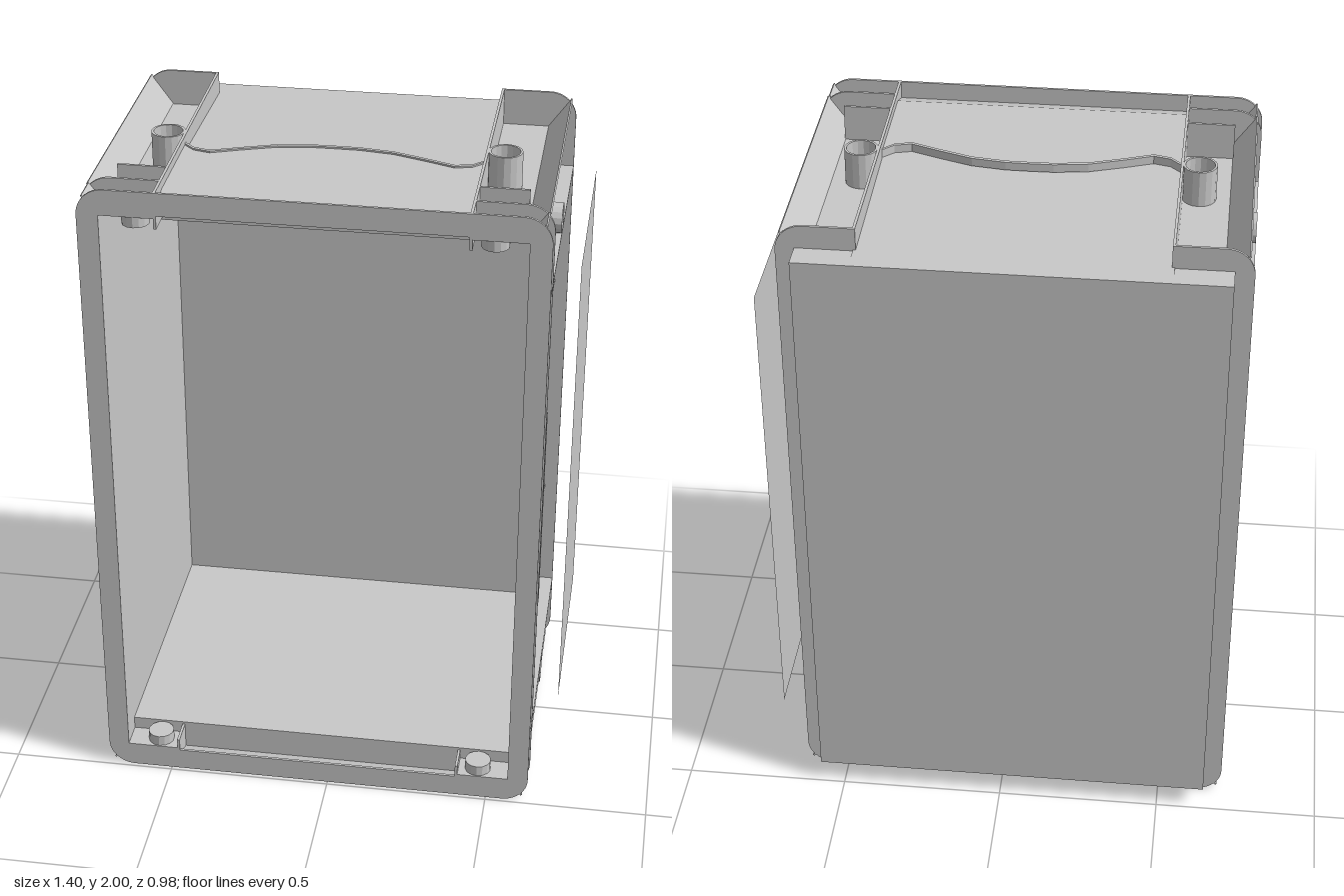
import * as THREE from 'three';

const grey = new THREE.MeshStandardMaterial({ color: 0xc8c8c8, side: THREE.DoubleSide, flatShading: true });
grey.name = 'grey';

// Half sizes, measured from the middle of the shell
const RX = 0.665, RY = 1.0;      // outer rim
const BX = 0.61, BY = 0.93;      // body
const TRAY_X = 0.445, TRAY_Y = 0.89;
const FRONT = 0.488, MID = 0.405, BACK = -0.41, REAR = -0.49, T = 0.008;

function add(parent, name, geometry, x = 0, y = 0, z = 0) {
  const mesh = new THREE.Mesh(geometry, grey);
  mesh.name = name;
  mesh.position.set(x, y, z);
  parent.add(mesh);
  return mesh;
}

// Box given by its lower and upper limits
function block(parent, name, x0, x1, y0, y1, z0, z1) {
  return add(parent, name, new THREE.BoxGeometry(Math.abs(x1 - x0), Math.abs(y1 - y0), Math.abs(z1 - z0)),
    (x0 + x1) / 2, (y0 + y1) / 2, (z0 + z1) / 2);
}

// Thin sheet across the middle, running from one height and depth to another
function slopedSheet(parent, name, y0, z0, y1, z1) {
  const sheet = add(parent, name, new THREE.PlaneGeometry(2 * TRAY_X, Math.hypot(y1 - y0, z1 - z0)),
    0, (y0 + y1) / 2, (z0 + z1) / 2);
  sheet.rotation.x = Math.atan2(z1 - z0, y1 - y0);
}

function plate(shape) {
  return new THREE.ExtrudeGeometry(shape, { depth: T, bevelEnabled: false, curveSegments: 6 });
}

// Full rounded rim with the opening cut out
function rimShape() {
  const r = 0.08, s = new THREE.Shape();
  s.moveTo(-RX + r, -RY);
  s.lineTo(RX - r, -RY).absarc(RX - r, -RY + r, r, -Math.PI / 2, 0);
  s.lineTo(RX, RY - r).absarc(RX - r, RY - r, r, 0, Math.PI / 2);
  s.lineTo(-RX + r, RY).absarc(-RX + r, RY - r, r, Math.PI / 2, Math.PI);
  s.lineTo(-RX, -RY + r).absarc(-RX + r, -RY + r, r, Math.PI, Math.PI * 1.5);
  const h = new THREE.Path();
  h.moveTo(-BX, -BY).lineTo(-BX, BY).lineTo(BX, BY).lineTo(BX, -BY).closePath();
  s.holes.push(h);
  return s;
}

// C-shaped flange that wraps one side and its two corners
function sideFlangeShape() {
  const r = 0.08, s = new THREE.Shape();
  s.moveTo(TRAY_X, -RY);
  s.lineTo(RX - r, -RY).absarc(RX - r, -RY + r, r, -Math.PI / 2, 0);
  s.lineTo(RX, RY - r).absarc(RX - r, RY - r, r, 0, Math.PI / 2);
  s.lineTo(TRAY_X, RY).lineTo(TRAY_X, TRAY_Y).lineTo(BX, TRAY_Y);
  s.lineTo(BX, -TRAY_Y).lineTo(TRAY_X, -TRAY_Y).closePath();
  return s;
}

// Flat sheet in x and z whose rear edge follows the wave, hanging down by its depth
function waveGeometry(frontEdge, depth) {
  const half = [[0, 0.045], [0.07, 0.046], [0.17, 0.06], [0.27, 0.095], [0.355, 0.128], [0.405, 0.115], [0.445, 0.075]];
  const line = [...half.slice(1).reverse().map(([x, z]) => [-x, z]), ...half];
  const s = new THREE.Shape();
  line.forEach(([x, z], i) => (i ? s.lineTo(x, z) : s.moveTo(x, z)));
  [...line].reverse().forEach(([x, z]) => s.lineTo(x, frontEdge(z)));
  s.closePath();
  return new THREE.ExtrudeGeometry(s, { depth, bevelEnabled: false }).rotateX(Math.PI / 2);
}

// Hollow peg standing along y
function pegGeometry(r, height) {
  const pts = [[r, 0], [r, height], [r - 0.007, height], [r - 0.007, 0]].map(([a, b]) => new THREE.Vector2(a, b));
  return new THREE.LatheGeometry(pts, 16);
}

export function createModel() {
  const model = new THREE.Group();
  model.name = 'openCase';
  const shell = new THREE.Group();
  shell.name = 'shell';
  shell.position.set(-0.035, 1, 0);
  model.add(shell);

  // Back wall and front rim
  block(shell, 'backWall', -BX, BX, -BY, BY, REAR, REAR + T);
  add(shell, 'frontRim', plate(rimShape()), 0, 0, FRONT - T);

  // Top and bottom: inner liner, rear panel, raised front panel with a wavy edge, sloped lip
  for (const s of [1, -1]) {
    const end = s > 0 ? 'top' : 'bottom';
    block(shell, end + 'Liner', -BX, BX, s * (TRAY_Y - T), s * TRAY_Y, REAR, MID);
    block(shell, end + 'LinerEdge', -TRAY_X, TRAY_X, s * TRAY_Y, s * 0.975, MID - T, MID);
    slopedSheet(shell, end + 'RearPanel', s * BY, REAR, s * 0.955, 0.13);
    add(shell, end + 'FrontPanel', waveGeometry(() => MID, 0.02), 0, s > 0 ? 0.975 : -0.955, 0);
    add(shell, end + 'WaveRib', waveGeometry((z) => z + 0.011, 0.025), 0, s > 0 ? 0.98 : -0.955, 0);
    slopedSheet(shell, end + 'SlopedLip', s * 0.975, MID, s * 0.947, FRONT - T);
  }

  for (const sx of [1, -1]) {
    const side = sx > 0 ? 'left' : 'right';

    // Side wall, with taller ends at the front and rear
    block(shell, side + 'Wall', sx * (BX - T), sx * BX, -TRAY_Y, TRAY_Y, BACK, MID);
    block(shell, side + 'WallFront', sx * (BX - T), sx * BX, -BY, BY, MID, FRONT);
    block(shell, side + 'WallRear', sx * (BX - T), sx * BX, -BY, BY, REAR, BACK);

    // Flanges, grip and guides
    for (const z of [MID - T, BACK]) {
      const flange = add(shell, side + 'Flange', plate(sideFlangeShape()), 0, 0, sx > 0 ? z : z + T);
      if (sx < 0) flange.rotation.y = Math.PI;
    }
    block(shell, side + 'GripPlate', sx * BX, sx * RX, -0.32, 0.325, 0.362, 0.368);
    for (const y of [-0.32, 0.325]) {
      block(shell, side + 'GripEnd', sx * BX, sx * RX, y - 0.004, y + 0.004, 0.362, MID);
    }
    for (const y of [-0.39, 0.37]) {
      block(shell, side + 'RearGuide', sx * BX, sx * (BX + 0.015), y - 0.004, y + 0.004, BACK, -0.06);
    }

    // Corners
    for (const sy of [1, -1]) {
      const corner = side + (sy > 0 ? 'Top' : 'Bottom');
      block(shell, corner + 'SideRib', sx * BX, sx * RX, sy * 0.756, sy * 0.764, BACK, FRONT);
      block(shell, corner + 'FrontCap', sx * TRAY_X, sx * BX, sy * (BY - T), sy * BY, MID, FRONT);
      block(shell, corner + 'RearCap', sx * TRAY_X, sx * BX, sy * (BY - T), sy * BY, REAR, BACK);
      block(shell, corner + 'TrayWall', sx * TRAY_X, sx * (TRAY_X - T), sy * TRAY_Y, sy * RY, BACK, FRONT);
      block(shell, corner + 'TrayRib', sx * TRAY_X, sx * 0.585, sy * TRAY_Y, sy * RY, 0.303, 0.311);

      // Diagonal web from the body corner to the rim corner
      const web = add(shell, corner + 'DiagonalWeb',
        new THREE.BoxGeometry(Math.hypot(0.065, 0.09), 0.005, MID - BACK),
        sx * 0.6175, sy * 0.935, (MID + BACK) / 2);
      web.rotation.z = sx * sy * Math.atan2(0.09, 0.065);
      const frontWeb = add(shell, corner + 'FrontWeb',
        new THREE.BoxGeometry(Math.hypot(0.037, 0.05), 0.005, FRONT - MID),
        sx * 0.6285, sy * 0.955, (FRONT + MID) / 2);
      frontWeb.rotation.z = sx * sy * Math.atan2(0.05, 0.037);

      // Pegs on the tray and on the side
      const peg = add(shell, corner + 'TrayPeg', pegGeometry(0.05, 0.11), sx * 0.493, sy * TRAY_Y, 0.055);
      if (sy < 0) peg.rotation.x = Math.PI;
      const sidePeg = add(shell, corner + 'SidePeg', pegGeometry(0.045, 0.055), sx * BX, sy * 0.802, 0.055);
      sidePeg.rotation.z = -sx * Math.PI / 2;

      // Short round stop behind the rim
      add(shell, corner + 'RimStop', new THREE.CylinderGeometry(0.04, 0.04, 0.034, 14), sx * 0.505, sy * 0.905, 0.445);
    }
  }

  // Loose cover sheet beside the left wall
  const cover = add(shell, 'coverSheet', new THREE.PlaneGeometry(0.675, 1.508), 0.735, 0.002, -0.0675);
  cover.rotation.y = Math.PI / 2;
  return model;
}
